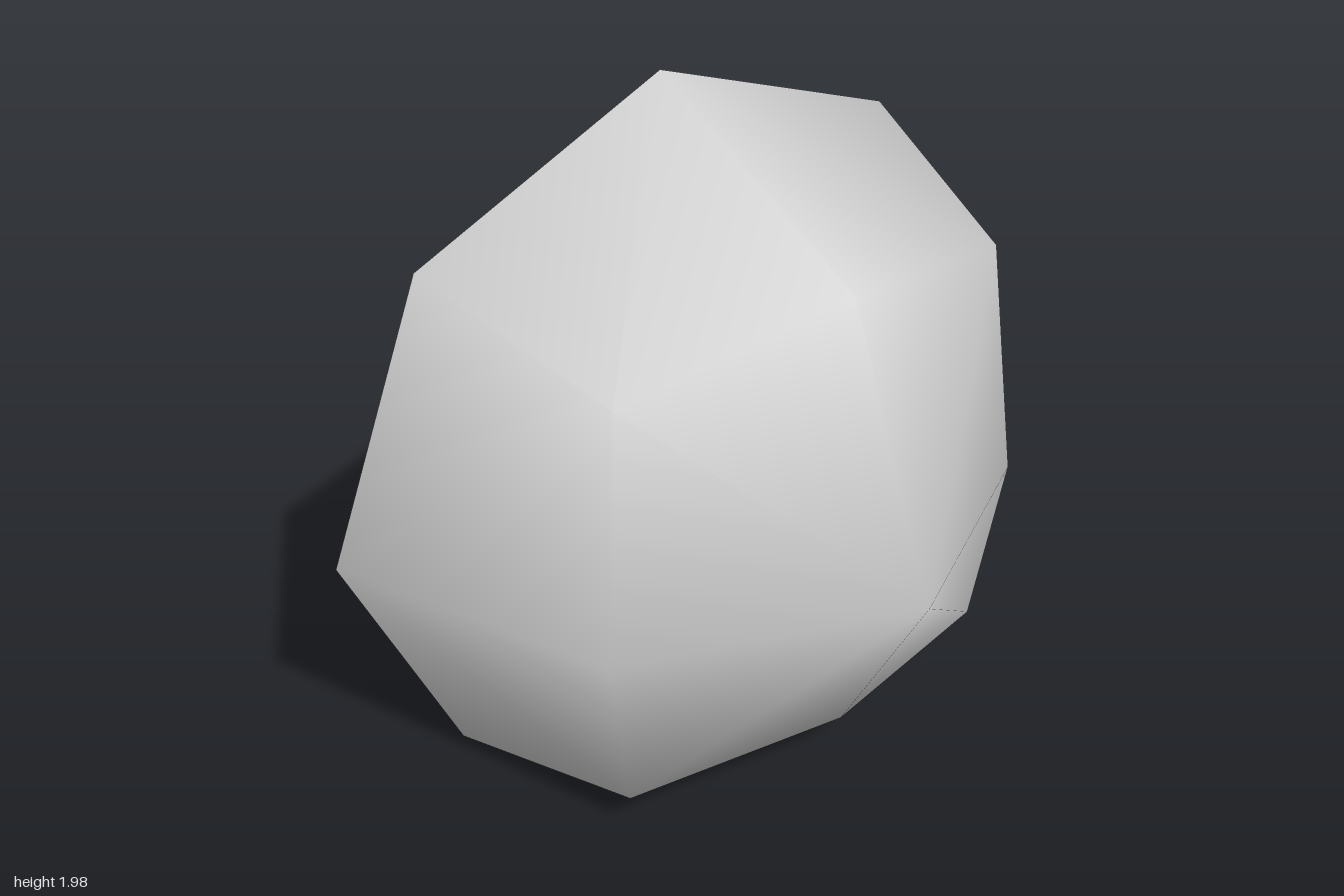
import * as THREE from 'three';

// Half of a rounded cube with its bottom and back pressed flat.
const R = 1.16, E = R / Math.SQRT2, C = R / Math.sqrt(3);
const CENTRE = [-0.58, 0.82, -0.16];

// Eight directions around the x axis as [y, z]; odd ones are corners.
const DIRS = [[1, 0], [1, 1], [0, 1], [-1, 1], [-1, 0], [-1, -1], [0, -1], [1, -1]];
const BOTTOM = 4, CORNER = 5, BACK = 6;

// Rim on the flat side, and the ring halfway up the dome.
const rim = DIRS.map(([y, z], i) => {
  const r = i === BOTTOM ? 0.81 : i === BACK ? 0.84 : i % 2 ? E : R;
  return [0, y * r, z * r];
});
const ring = DIRS.map(([y, z], i) => {
  const r = i % 2 ? C : i === BOTTOM || i === BACK ? 0.635 : E;
  return [i % 2 ? C : E, y * r, z * r];
});

export function createModel() {
  const group = new THREE.Group();
  const grey = new THREE.MeshStandardMaterial({ color: 0xcccccc });
  grey.name = 'light grey';

  // Shared vertices shade smoothly; copies with another key keep an edge sharp.
  const positions = [], index = [], known = new Map();
  const vertex = (key, p) => {
    if (!known.has(key)) {
      known.set(key, positions.length / 3);
      positions.push(...p);
    }
    return known.get(key);
  };
  const point = (id) => new THREE.Vector3().fromArray(positions, id * 3);
  const triangle = (a, b, c) => {
    const pa = point(a), pb = point(b), pc = point(c);
    const normal = pb.clone().sub(pa).cross(pc.clone().sub(pa));
    const middle = pa.add(pb).add(pc).divideScalar(3).sub(new THREE.Vector3(0.15, 0, 0));
    index.push(...(normal.dot(middle) > 0 ? [a, b, c] : [a, c, b]));
  };
  const sharp = (i, face) => (i === CORNER ? face : '');
  const ringAt = (i, face) => vertex('ring' + i + sharp(i, face), ring[i]);
  const rimAt = (i, face) => vertex('rim' + i + sharp(i, face), rim[i]);

  const apex = vertex('apex', [R, 0, 0]);
  for (let m = 0; m < 8; m += 2) {
    for (const c of [(m + 1) % 8, (m + 7) % 8]) {
      // Crown
      triangle(apex, ringAt(c, 'crown'), ringAt(m, 'crown'));
      // Side panel
      const face = 'side' + m;
      triangle(rimAt(m, face), ringAt(c, face), ringAt(m, face));
      triangle(rimAt(m, face), rimAt(c, face), ringAt(c, face));
    }
  }
  const domeGeometry = new THREE.BufferGeometry();
  domeGeometry.setAttribute('position', new THREE.Float32BufferAttribute(positions, 3));
  domeGeometry.setIndex(index);
  domeGeometry.computeVertexNormals();
  const dome = new THREE.Mesh(domeGeometry, grey);
  dome.name = 'dome';

  // Flat cut face
  const outline = new THREE.Shape(rim.map(([, y, z]) => new THREE.Vector2(z, y)));
  const cutFace = new THREE.Mesh(new THREE.ShapeGeometry(outline).rotateY(-Math.PI / 2), grey);
  cutFace.name = 'cutFace';

  for (const mesh of [dome, cutFace]) {
    mesh.position.set(...CENTRE);
    group.add(mesh);
  }
  group.name = 'halfBoulder';
  return group;
}
